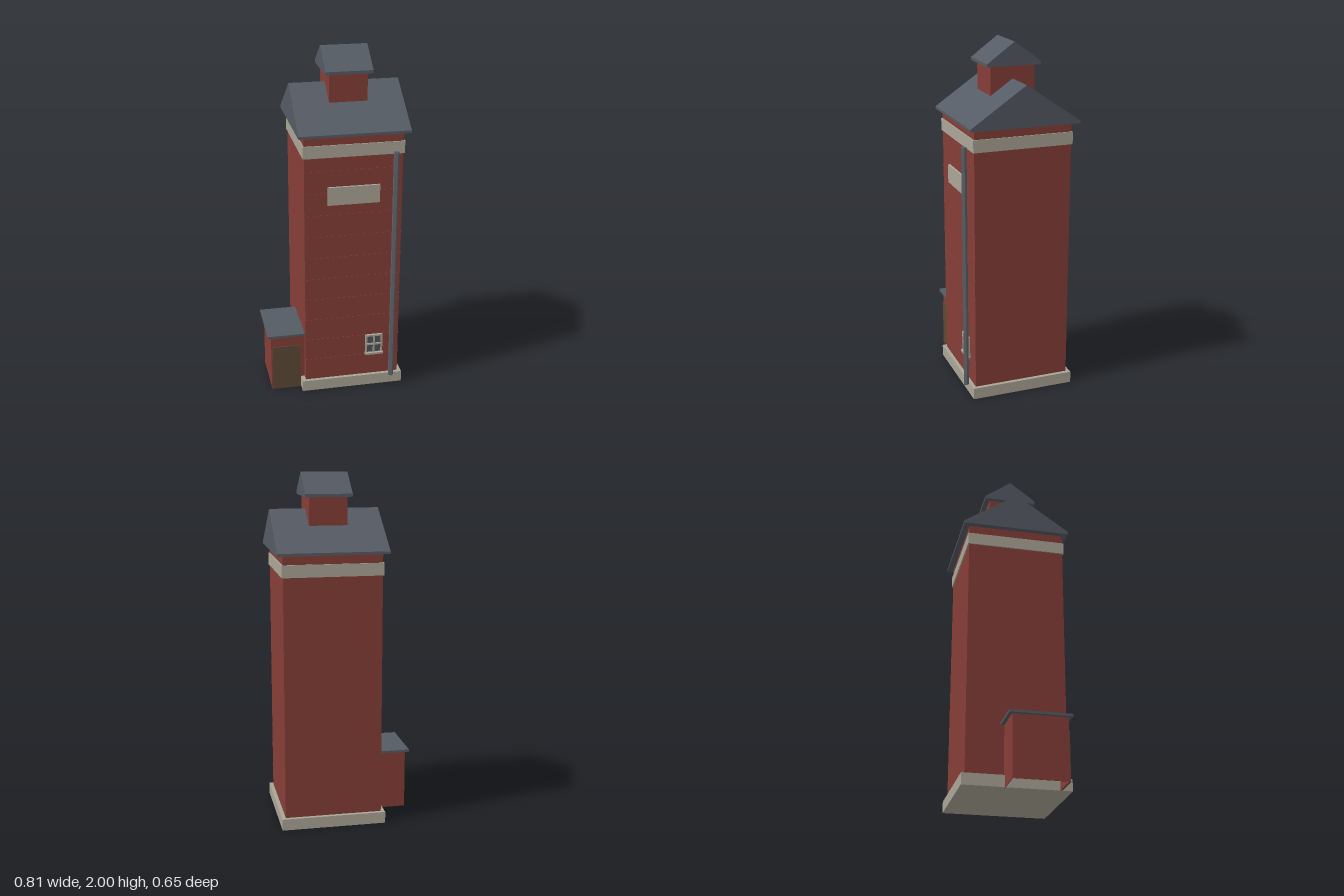
import * as THREE from 'three';

const mat = (name, color) => {
  const m = new THREE.MeshStandardMaterial({ color });
  m.name = name;
  return m;
};

export function createModel() {
  const brick = mat('brick red', 0x853d37);
  const stone = mat('pale stone', 0xaaa596);
  const slate = mat('slate', 0x555b64);
  const wood = mat('door brown', 0x5c4833);
  const metal = mat('pipe grey', 0x5c6269);
  const glass = mat('window glass', 0x4b565f);

  const root = new THREE.Group();
  root.name = 'brickTower';

  const add = (name, geometry, material, parent = root) => {
    const m = new THREE.Mesh(geometry, material);
    m.name = name;
    parent.add(m);
    return m;
  };
  // box given by its extents on each axis
  const box = (name, material, [x0, x1], [y0, y1], [z0, z1], parent) => {
    const g = new THREE.BoxGeometry(x1 - x0, y1 - y0, z1 - z0);
    g.translate((x0 + x1) / 2, (y0 + y1) / 2, (z0 + z1) / 2);
    return add(name, g, material, parent);
  };
  // gable roof with its ridge along x, on a thin eaves slab
  const gableRoof = (name, [x0, x1], [z0, z1], eaves, base, ridge) => {
    const group = new THREE.Group();
    group.name = name;
    root.add(group);
    box('eavesSlab', slate, [x0, x1], [eaves, base], [z0, z1], group);
    const s = new THREE.Shape();
    s.moveTo(-z1, base);
    s.lineTo(-z0, base);
    s.lineTo(-(z0 + z1) / 2, ridge);
    s.closePath();
    const g = new THREE.ExtrudeGeometry(s, { depth: x1 - x0, bevelEnabled: false });
    g.rotateY(Math.PI / 2);
    g.translate(x0, 0, 0);
    add('gable', g, slate, group);
  };

  // main tower
  box('plinth', stone, [-0.21, 0.39], [0, 0.066], [-0.314, 0.288]);
  box('towerWalls', brick, [-0.188, 0.368], [0.066, 1.57], [-0.292, 0.268]);
  box('corniceBand', stone, [-0.195, 0.375], [1.447, 1.517], [-0.299, 0.275]);
  gableRoof('mainRoof', [-0.221, 0.403], [-0.328, 0.299], 1.568, 1.583, 1.797);

  // brick courses on the front
  for (let i = 0; i < 10; i++) {
    const y = 0.197 + i * 0.13;
    box('brickCourse', brick, [-0.191, 0.371], [y - 0.003, y + 0.003], [0.262, 0.27]);
  }

  // roof cupola
  box('cupolaWalls', brick, [-0.018, 0.198], [1.6, 1.87], [-0.141, 0.114]);
  gableRoof('cupolaRoof', [-0.043, 0.223], [-0.17, 0.141], 1.869, 1.886, 2);

  // blank panel
  box('frontPanel', stone, [-0.058, 0.238], [1.17, 1.275], [0.266, 0.281]);

  // window with cross bars and sill
  const win = new THREE.Group();
  win.name = 'window';
  root.add(win);
  box('pane', glass, [0.17, 0.27], [0.21, 0.328], [0.267, 0.274], win);
  for (const x of [0.174, 0.22, 0.266])
    box('upright', stone, [x - 0.005, x + 0.005], [0.21, 0.33], [0.267, 0.282], win);
  for (const y of [0.268, 0.325])
    box('crossBar', stone, [0.169, 0.271], [y - 0.005, y + 0.005], [0.267, 0.282], win);
  box('sill', stone, [0.166, 0.274], [0.202, 0.214], [0.267, 0.29], win);

  // downpipe
  const pipe = new THREE.CylinderGeometry(0.016, 0.016, 1.404, 5, 1, false, Math.PI / 2).toNonIndexed();
  pipe.computeVertexNormals();
  pipe.translate(0.318, 0.768, 0.31);
  add('downpipe', pipe, metal);

  // side shed, open underneath
  const shed = new THREE.Group();
  shed.name = 'sideShed';
  root.add(shed);
  box('outerWall', brick, [-0.385, -0.381], [0, 0.348], [-0.08, 0.225], shed);
  box('frontWall', brick, [-0.385, -0.188], [0, 0.348], [0.221, 0.225], shed);
  box('backWall', brick, [-0.385, -0.188], [0, 0.348], [-0.08, -0.076], shed);
  box('shedRoof', slate, [-0.405, -0.188], [0.348, 0.362], [-0.1, 0.245], shed);
  box('door', wood, [-0.377, -0.213], [0, 0.28], [0.224, 0.231], shed);

  return root;
}
